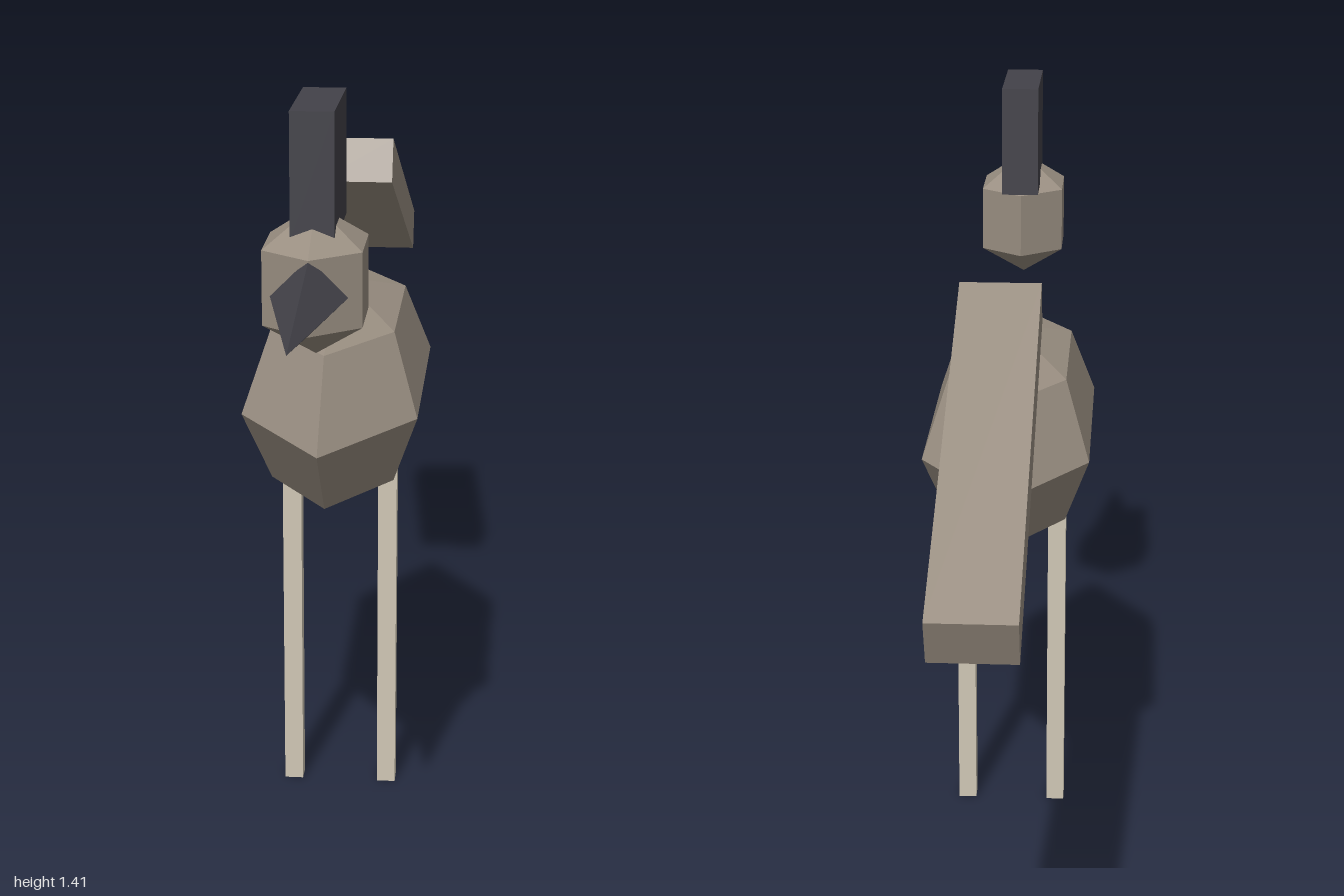
import * as THREE from 'three';

const paint = (color) => new THREE.MeshStandardMaterial({ color, flatShading: true });

export function createModel() {
  const bird = new THREE.Group();
  bird.name = 'bird';
  const feather = paint(0x9a8f82);
  const dark = paint(0x434249);
  const bone = paint(0xd0c7b5);

  const add = (name, geometry, material, x, y, z) => {
    const mesh = new THREE.Mesh(geometry, material);
    mesh.name = name;
    mesh.position.set(x, y, z);
    bird.add(mesh);
    return mesh;
  };

  // Six-sided faceted ball with a corner pointing forward
  const facetedBall = (rows, rx, ry, rz) =>
    new THREE.SphereGeometry(1, 6, rows).rotateY(Math.PI / 2).scale(rx, ry, rz);

  // Body and head
  add('body', facetedBall(4, 0.18, 0.197, 0.45), feather, 0, 0.816, 0.115);
  add('head', facetedBall(3, 0.1085, 0.125, 0.144), feather, 0, 1.125, 0.565);

  // Four-sided beak pointing forward
  const beak = new THREE.ConeGeometry(0.0625, 0.325, 4).rotateX(Math.PI / 2);
  add('beak', beak, dark, 0, 1.125, 0.8375);

  // Upright crest on the head
  add('crest', new THREE.BoxGeometry(0.072, 0.213, 0.215), dark, 0, 1.305, 0.513);

  // Tail sloping down towards the back
  const tail = add('tail', new THREE.BoxGeometry(0.144, 0.087, 0.815), feather, 0, 0.998, -0.6075);
  tail.rotation.x = -0.4;

  // Legs
  for (const [name, side] of [['leftLeg', 1], ['rightLeg', -1]]) {
    add(name, new THREE.BoxGeometry(0.035, 0.652, 0.035), bone, side * 0.09, 0.326, 0.1165);
  }
  return bird;
}
